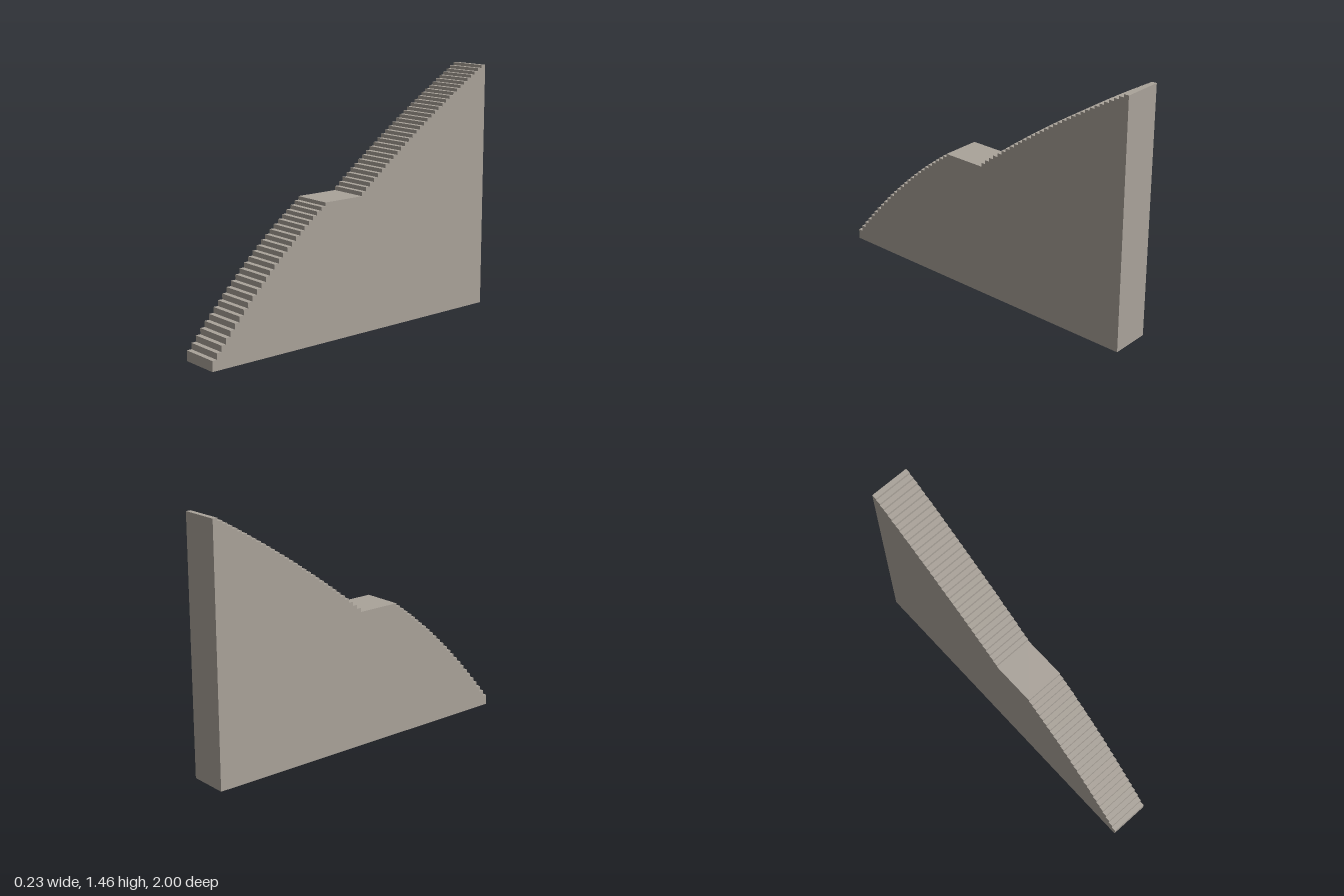
import * as THREE from 'three';

const WIDTH = 0.234;
const TREAD = 2 / 68;        // depth of every step
const LOWER = 26;            // treads below the landing
const LANDING = 9;           // landing length, in treads
const UPPER = 33;            // treads above the landing

// Tread heights: both flights become slightly gentler as they climb
const lowerHeight = (i) => 0.06 + 0.036 * i - 0.0003 * i * i;
const landingHeight = lowerHeight(LOWER);
const upperHeight = (j) => landingHeight + 0.0235 * j - 0.0001 * j * j;

export function createModel() {
  const stone = new THREE.MeshStandardMaterial({ color: 0xaaa39a });
  stone.name = 'warm grey stone';

  // Side profile: horizontal axis runs from the foot of the stair to its back
  const profile = new THREE.Shape();
  let run = 0;
  profile.moveTo(0, 0);
  const addStep = (height, depth) => {
    profile.lineTo(run, height);
    run += depth;
    profile.lineTo(run, height);
  };
  for (let i = 0; i < LOWER; i++) addStep(lowerHeight(i), TREAD);
  addStep(landingHeight, LANDING * TREAD);
  for (let j = 1; j <= UPPER; j++) addStep(upperHeight(j), TREAD);
  profile.lineTo(run, 0);
  profile.closePath();

  // Solid stair: extrude across the width, then turn the run towards -z
  const geometry = new THREE.ExtrudeGeometry(profile, { depth: WIDTH, bevelEnabled: false });
  geometry.translate(-1, 0, -WIDTH / 2);
  geometry.rotateY(Math.PI / 2);

  const stair = new THREE.Mesh(geometry, stone);
  stair.name = 'solidStaircase';

  const model = new THREE.Group();
  model.name = 'staircaseWithLanding';
  model.add(stair);
  return model;
}
